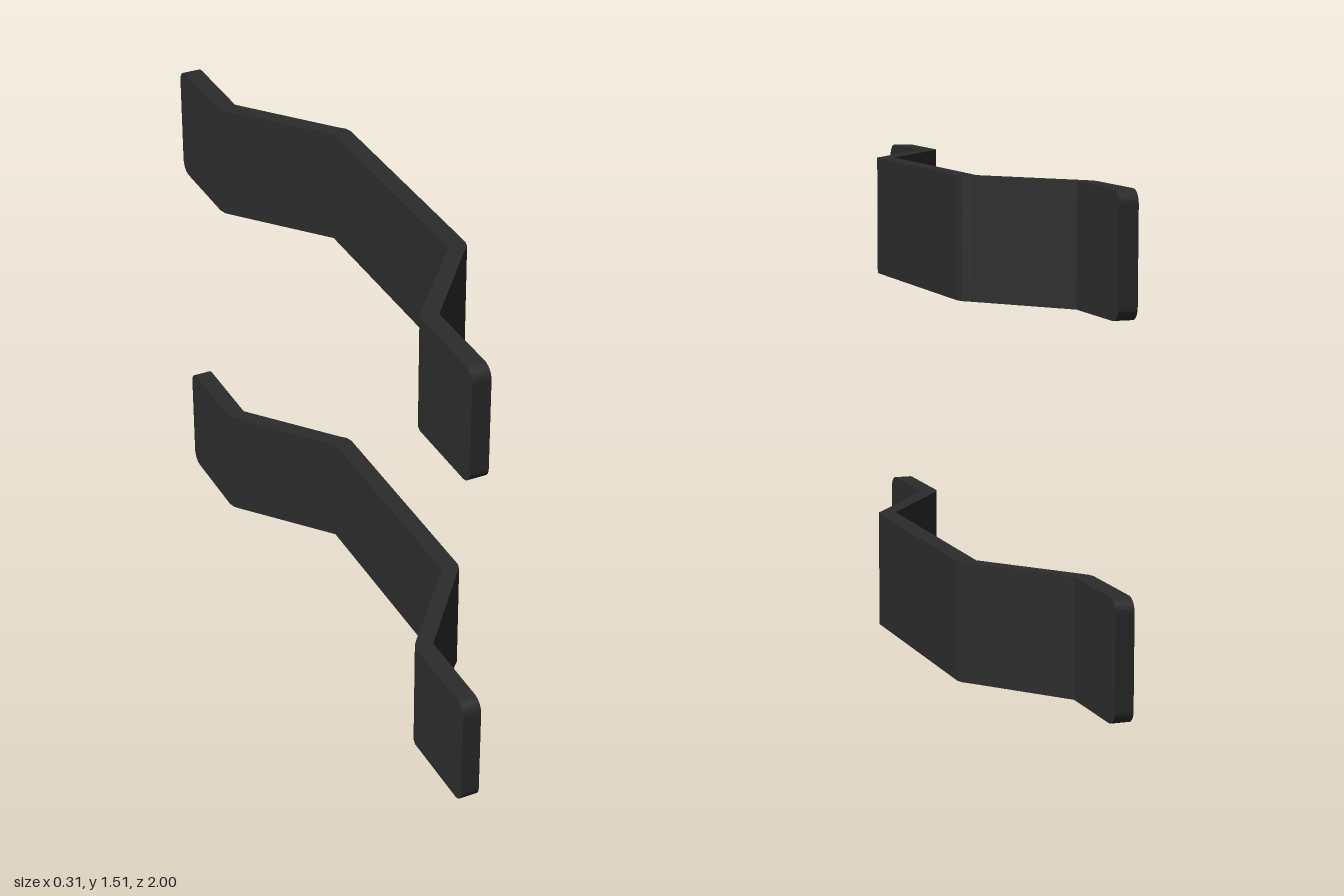
import * as THREE from 'three';

const HEIGHT = 0.365, LENGTH = 2, HALF_X = 0.153, THICK = 0.058, CORNER = 0.04;
const UPPER_Y = 1.145;

// Stations of one half of the strip, from the back end to the last bend:
// [x, z] on the right face, [x, z] on the left face, half height
function halfStations() {
  const stations = [];
  const inner = -HALF_X + THICK;
  // rounded end corners
  for (let i = 0; i <= 6; i++) {
    const t = (i / 6) * Math.PI / 2;
    const z = -LENGTH / 2 + CORNER * (1 - Math.cos(t));
    const h = HEIGHT / 2 - CORNER * (1 - Math.sin(t));
    stations.push({ a: [-HALF_X, z], b: [inner, z], h });
  }
  const h = HEIGHT / 2;
  // bend from the mounting tab into the ramp: outside softened, inside sharp
  for (const a of [[-HALF_X, -0.7], [-0.147, -0.677], [-0.13, -0.655]]) {
    stations.push({ a, b: [inner, -0.695], h });
  }
  // bend from the ramp into the raised middle
  for (const b of [[0.127, -0.42], [0.146, -0.4], [HALF_X, -0.378]]) {
    stations.push({ a: [HALF_X - THICK, -0.383], b, h });
  }
  return stations;
}

function stripGeometry() {
  const half = halfStations();
  const mirrored = half.map(({ a, b, h }) => ({ a: [a[0], -a[1]], b: [b[0], -b[1]], h })).reverse();
  const stations = [...half, ...mirrored];
  const positions = [], index = [];
  for (const { a, b, h } of stations) {
    positions.push(a[0], -h, a[1], b[0], -h, b[1], b[0], h, b[1], a[0], h, a[1]);
  }
  for (let s = 0; s < stations.length - 1; s++) {
    for (let j = 0; j < 4; j++) {
      const p = s * 4 + j, q = s * 4 + (j + 1) % 4;
      index.push(p, q, q + 4, p, q + 4, p + 4);
    }
  }
  // end caps
  const e = (stations.length - 1) * 4;
  index.push(0, 2, 1, 0, 3, 2, e, e + 1, e + 2, e, e + 2, e + 3);

  const indexed = new THREE.BufferGeometry();
  indexed.setAttribute('position', new THREE.Float32BufferAttribute(positions, 3));
  indexed.setIndex(index);
  const geometry = indexed.toNonIndexed();
  geometry.computeVertexNormals();
  return geometry;
}

export function createModel() {
  const group = new THREE.Group();
  group.name = 'bracketPair';
  const material = new THREE.MeshStandardMaterial({ color: 0x2b2b2b, flatShading: true });
  const geometry = stripGeometry();

  // two identical bent straps, one above the other
  for (const [name, y] of [['lowerBracket', 0], ['upperBracket', UPPER_Y]]) {
    const strap = new THREE.Mesh(geometry, material);
    strap.name = name;
    strap.position.y = y + HEIGHT / 2;
    group.add(strap);
  }
  return group;
}
